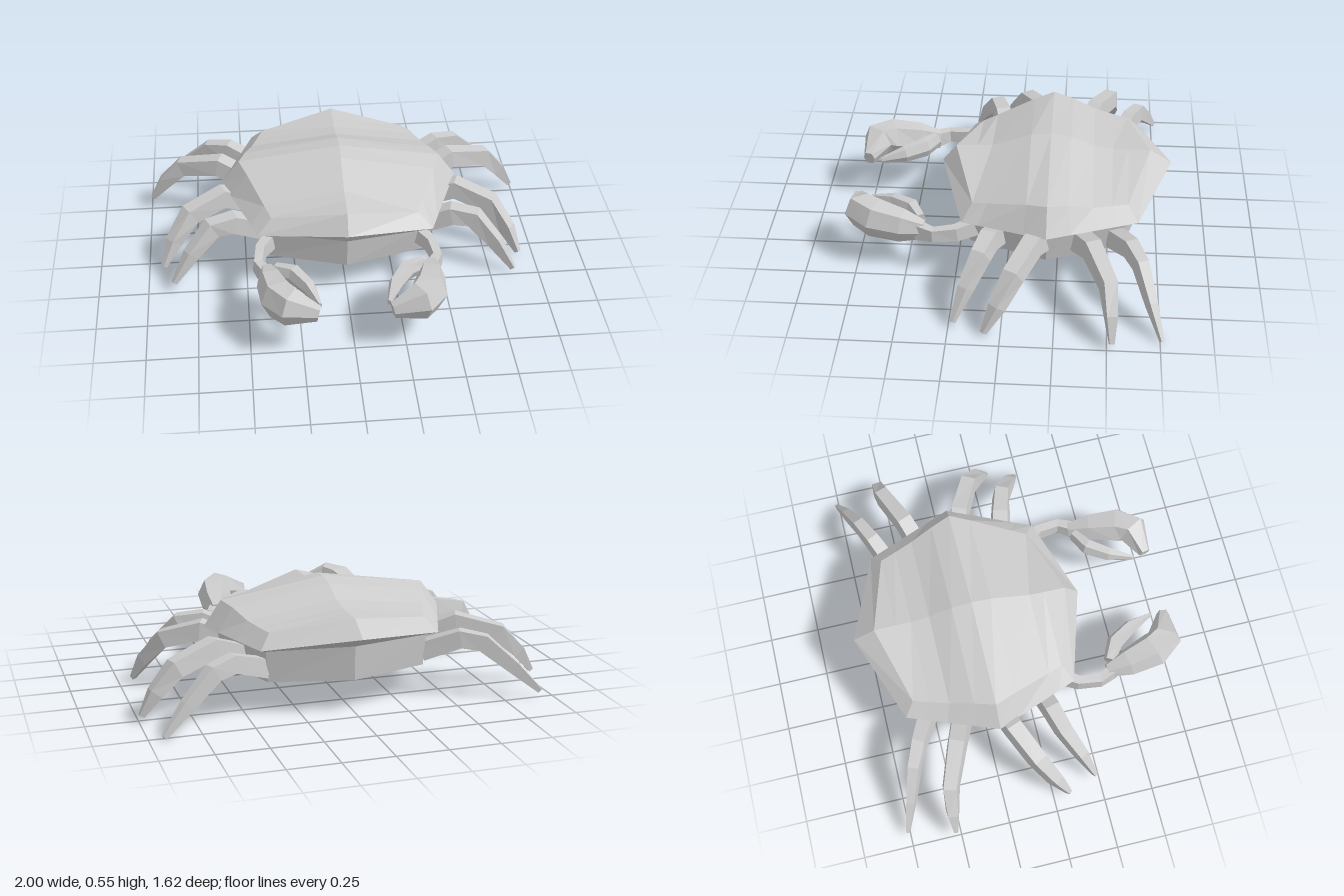
import * as THREE from 'three';

const material = new THREE.MeshStandardMaterial({ color: 0xcccccc, flatShading: true });
const V = (x, y, z) => new THREE.Vector3(x, y, z);

// Skins a stack of equal-sized rings with flat faces, with optional end caps.
function skin(name, rings, capStart, capEnd) {
  const pos = [];
  const tri = (a, b, c) => {
    const n = b.clone().sub(a).cross(c.clone().sub(a));
    if (n.length() > 1e-7) pos.push(...a.toArray(), ...b.toArray(), ...c.toArray());
  };
  const count = rings[0].length;
  for (let r = 0; r < rings.length - 1; r++) {
    for (let i = 0; i < count; i++) {
      const j = (i + 1) % count, lo = rings[r], hi = rings[r + 1];
      tri(lo[i], lo[j], hi[j]);
      tri(lo[i], hi[j], hi[i]);
    }
  }
  const cap = (ring, flip) => {
    const mid = ring.reduce((s, p) => s.add(p), V(0, 0, 0)).divideScalar(count);
    ring.forEach((p, i) => {
      const q = ring[(i + 1) % count];
      flip ? tri(mid, q, p) : tri(mid, p, q);
    });
  };
  if (capStart) cap(rings[0], true);
  if (capEnd) cap(rings[rings.length - 1], false);
  const geometry = new THREE.BufferGeometry();
  geometry.setAttribute('position', new THREE.Float32BufferAttribute(pos, 3));
  geometry.computeVertexNormals();
  const mesh = new THREE.Mesh(geometry, material);
  mesh.name = name;
  return mesh;
}

// Cross-sections as (side, up) pairs, counter-clockwise.
const LEG_SECTION = [[1, -1], [0.75, 1], [-0.75, 1], [-1, -1]];
const CLAW_SECTION = [[1, 0], [0.55, 1], [-0.55, 1], [-1, 0], [-0.55, -1], [0.55, -1]];

// Limb along stations [x, y, z, halfWidth, halfHeight]; side = 1 or -1 mirrors it.
function limb(name, stations, section, side) {
  const pts = stations.map(([x, y, z]) => V(x * side, y, z));
  const rings = pts.map((p, i) => {
    const a = pts[Math.max(i - 1, 0)], b = pts[Math.min(i + 1, pts.length - 1)];
    const along = b.clone().sub(a).normalize();
    const across = V(0, 1, 0).cross(along).normalize();
    const up = along.clone().cross(across);
    const [, , , w, h] = stations[i];
    return section.map(([u, v]) =>
      p.clone().addScaledVector(across, u * w).addScaledVector(up, v * h));
  });
  return skin(name, rings, true, true);
}

// Octagon outlines, front tip to rear tip, as [x, y, z].
const RIM = [[0, 0.365, 0.35], [0.44, 0.3, 0.22], [0.61, 0.345, -0.2], [0.44, 0.335, -0.64], [0, 0.395, -0.81]];
const RIDGE = [[0, 0, 0.28], [0.37, 0, 0.17], [0.52, 0, -0.2], [0.385, 0, -0.59], [0, 0, -0.7]];
const BELLY = [[0, 0.31, 0.31], [0.4, 0.29, 0.19], [0.54, 0.31, -0.2], [0.4, 0.31, -0.58], [0, 0.33, -0.7]];
const BASE = [[0, 0.155, 0.3], [0.38, 0.145, 0.18], [0.52, 0.15, -0.2], [0.39, 0.155, -0.57], [0, 0.16, -0.69]];

// Rows over the shell: [position along the outline, spine height, ridge height].
const ROWS = [
  [0, 0.455, 0.455], [1, 0.46, 0.37], [1.2, 0.465, 0.39], [1.73, 0.535, 0.45],
  [2, 0.545, 0.47], [2.26, 0.53, 0.455], [2.56, 0.48, 0.42], [2.8, 0.465, 0.41],
  [3, 0.465, 0.405], [4, 0.465, 0.465],
];

function outlinePoint(outline, t) {
  const i = Math.min(Math.floor(t), outline.length - 2);
  return V(...outline[i]).lerp(V(...outline[i + 1]), t - i);
}

// Full ring: down the left side, back up the mirrored right side.
function ring(pointAt) {
  const left = ROWS.map(pointAt);
  const right = left.slice(1, -1).reverse().map((p) => V(-p.x, p.y, p.z));
  return [...left, ...right];
}
const outlineRing = (outline) => ring(([t]) => outlinePoint(outline, t));

// Leg stations from body to tip.
const LEGS = {
  frontLeg: [[0.4, 0.22, 0.04, 0.05, 0.045], [0.56, 0.295, 0.08, 0.05, 0.045],
    [0.67, 0.285, 0.11, 0.045, 0.042], [0.78, 0.17, 0.175, 0.034, 0.032], [0.87, 0.035, 0.23, 0.012, 0.012]],
  secondLeg: [[0.42, 0.23, -0.19, 0.055, 0.05], [0.61, 0.31, -0.13, 0.052, 0.045],
    [0.78, 0.26, -0.05, 0.048, 0.042], [0.87, 0.14, 0.02, 0.036, 0.032], [0.925, 0.025, 0.08, 0.014, 0.012]],
  thirdLeg: [[0.42, 0.22, -0.35, 0.055, 0.05], [0.62, 0.31, -0.425, 0.05, 0.045],
    [0.82, 0.255, -0.505, 0.043, 0.042], [0.92, 0.15, -0.52, 0.034, 0.032], [0.99, 0.045, -0.525, 0.014, 0.012]],
  rearLeg: [[0.4, 0.22, -0.53, 0.05, 0.045], [0.57, 0.285, -0.61, 0.042, 0.042],
    [0.67, 0.265, -0.655, 0.036, 0.04], [0.81, 0.14, -0.71, 0.026, 0.03], [0.93, 0.02, -0.76, 0.01, 0.012]],
};

// Claw pieces.
const ARM = [[0.35, 0.24, 0.12, 0.04, 0.04], [0.43, 0.23, 0.25, 0.03, 0.035],
  [0.445, 0.225, 0.36, 0.028, 0.03], [0.405, 0.22, 0.44, 0.035, 0.04]];
const PALM = [[0.405, 0.22, 0.41, 0.035, 0.045], [0.39, 0.23, 0.52, 0.07, 0.075],
  [0.36, 0.25, 0.66, 0.09, 0.085], [0.31, 0.26, 0.735, 0.085, 0.08], [0.175, 0.235, 0.765, 0.03, 0.035]];
const FINGER = [[0.36, 0.24, 0.43, 0.03, 0.04], [0.275, 0.25, 0.48, 0.042, 0.045],
  [0.21, 0.245, 0.58, 0.035, 0.038], [0.165, 0.23, 0.7, 0.01, 0.015]];

export function createModel() {
  const model = new THREE.Group();
  model.name = 'crab';
  const crab = new THREE.Group();
  crab.name = 'crabParts';
  crab.rotation.z = -0.014;
  model.add(crab);

  // Domed shell with an overhanging rim
  const ridge = ring(([t, , y]) => outlinePoint(RIDGE, t).setY(y));
  const spine = ring(([t, y]) => outlinePoint(RIDGE, t).setX(0).setY(y));
  crab.add(skin('shell', [outlineRing(BELLY), outlineRing(RIM), ridge, spine], false, false));

  // Flat-bottomed body under the shell
  crab.add(skin('body', [outlineRing(BASE), outlineRing(BELLY)], true, false));

  // Mirrored legs and claws
  for (const [label, side] of [['left', 1], ['right', -1]]) {
    for (const [name, stations] of Object.entries(LEGS)) {
      crab.add(limb(`${label} ${name}`, stations, LEG_SECTION, side));
    }
    const claw = new THREE.Group();
    claw.name = `${label} claw`;
    claw.add(
      limb('arm', ARM, LEG_SECTION, side),
      limb('palm', PALM, CLAW_SECTION, side),
      limb('finger', FINGER, CLAW_SECTION, side),
    );
    crab.add(claw);
  }

  // Stand on the ground, centred
  model.updateMatrixWorld(true);
  const box = new THREE.Box3().setFromObject(model, true);
  const mid = box.getCenter(V(0, 0, 0));
  crab.position.set(-mid.x, -box.min.y, -mid.z);
  return model;
}
